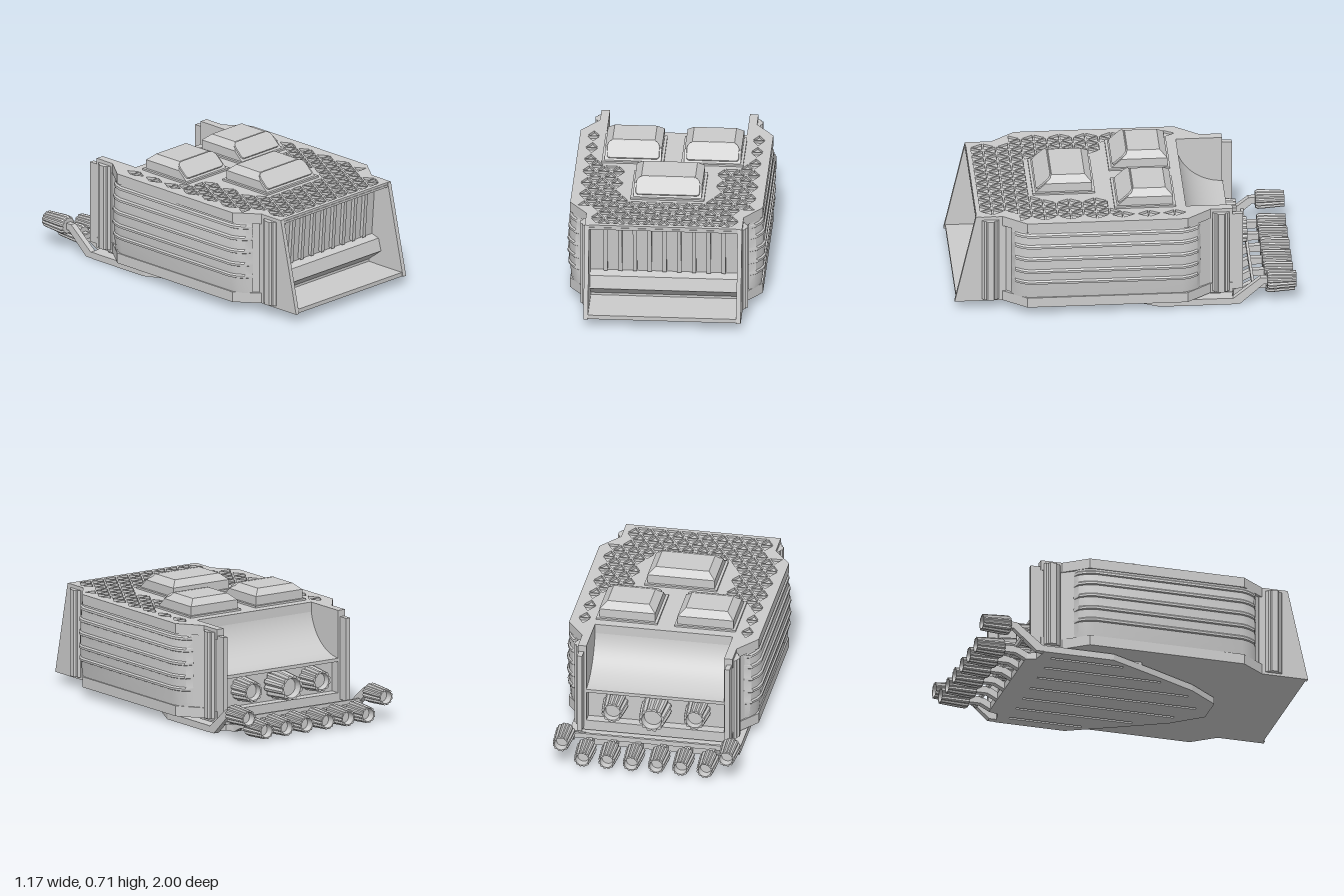
import * as THREE from 'three';
import { toCreasedNormals } from 'three/addons/utils/BufferGeometryUtils.js';

const mat = new THREE.MeshStandardMaterial({ color: 0xcccccc });
const thin = new THREE.MeshStandardMaterial({ color: 0xcccccc, side: THREE.DoubleSide });
const faceted = new THREE.MeshStandardMaterial({ color: 0xcccccc, side: THREE.DoubleSide, flatShading: true });

const shapeOf = (pts) => new THREE.Shape(pts.map(([a, b]) => new THREE.Vector2(a, b)));
const mirrorX = (pts) => [...pts, ...pts.slice().reverse().map(([x, z]) => [-x, z])];

// Plan outline of [x, z] points raised from y0 to y1
function prism(pts, y0, y1, holes = []) {
  const shape = shapeOf(pts.map(([x, z]) => [x, -z]));
  holes.forEach((h) => shape.holes.push(shapeOf(h.map(([x, z]) => [x, -z]))));
  const g = new THREE.ExtrudeGeometry(shape, { depth: y1 - y0, bevelEnabled: false });
  return g.rotateX(-Math.PI / 2).translate(0, y0, 0);
}

// Side profile of [z, y] points swept along x, centred on cx
function sweepX(pts, cx, width) {
  const g = new THREE.ExtrudeGeometry(shapeOf(pts), { depth: width, bevelEnabled: false });
  return toCreasedNormals(g.rotateY(-Math.PI / 2).translate(cx + width / 2, 0, 0), 0.5);
}

const box = (x0, x1, y0, y1, z0, z1) => new THREE.BoxGeometry(x1 - x0, y1 - y0, z1 - z0)
  .translate((x0 + x1) / 2, (y0 + y1) / 2, (z0 + z1) / 2);

// Hull plan; a notch at the rear leaves two cheeks
function hull(front, inset, notch) {
  const w = 0.565 - inset, n = 0.46 - inset * 0.3;
  const pts = [[n, front]];
  if (front > 0.72) pts.push([n, 0.72]);
  pts.push([w, 0.58], [w, -0.36], [n, -0.5], [n, -0.63]);
  if (notch) pts.push([0.41, -0.63], [0.41, -0.36]);
  return mirrorX(pts);
}

// Triangular cut-outs for the deck
function trussHoles() {
  const holes = [], base = 0.088, row = 0.076, gap = 0.2;
  const edge = (z) => (z > 0.58 ? Math.max(0.46, 0.565 - (z - 0.58) * 0.75)
    : z < -0.36 ? Math.max(0.46, 0.565 + (z + 0.36) * 0.75) : 0.565) - 0.012;
  const open = ([x, z]) => {
    const ax = Math.abs(x);
    if (ax > edge(z) || z > 0.855 || z < -0.46) return false;
    if (z < -0.34) return ax > 0.425;
    if (z < 0.08) return ax > 0.42;
    return z > 0.54 || ax > 0.23;
  };
  for (let r = 0; r < 18; r++) {
    const z = 0.85 - r * row;
    for (let i = -14; i <= 14; i++) {
      const x = i * base / 2, up = (i + r) % 2 === 0;
      const za = up ? z : z - row, zb = up ? z - row : z;
      const tri = [[x - base / 2, za], [x + base / 2, za], [x, zb]];
      const c = [x, (2 * za + zb) / 3];
      const small = tri.map(([a, b]) => [a + (c[0] - a) * gap, b + (c[1] - b) * gap]);
      if (small.every(open)) holes.push(small);
    }
  }
  return holes;
}

// Ribbed barrel panel wrapping one flank
function flankPanel(s) {
  const path = [[0.485, 0.672], [0.515, 0.65], [0.542, 0.61], [0.556, 0.57], [0.558, 0.1],
    [0.558, -0.33], [0.543, -0.38], [0.517, -0.42], [0.485, -0.442]];
  const rows = [[0.115, 0], [0.14, 0]];
  for (const y of [0.22, 0.295, 0.375, 0.455, 0.525]) {
    rows.push([y - 0.012, 0], [y - 0.008, 0.009], [y + 0.005, 0.009], [y + 0.014, 0]);
  }
  rows.push([0.552, 0]);
  const pos = [], idx = [], n = path.length;
  rows.forEach(([y, ridge], j) => path.forEach(([x, z], i) => {
    const fade = i === 0 || i === n - 1 ? 0 : 1;
    const out = (0.016 * (1 - ((y - 0.335) / 0.22) ** 2) + ridge) * fade;
    pos.push(s * (x + out), y, z);
    if (j && i) {
      const a = j * n + i, b = a - n;
      idx.push(...(s > 0 ? [b - 1, b, a, b - 1, a, a - 1] : [b - 1, a, b, b - 1, a - 1, a]));
    }
  }));
  const g = new THREE.BufferGeometry();
  g.setAttribute('position', new THREE.Float32BufferAttribute(pos, 3));
  g.setIndex(idx);
  return toCreasedNormals(g, 0.45);
}

// Fluted nozzle with an open bore, pointing to -z from its base
function nozzle(r, len) {
  const prof = [[0.3, 0], [0.85, 0], [1, 0.08], [0.98, 0.3], [0.84, 1], [0.66, 1], [0.58, 0.75], [0, 0.75]];
  const g = new THREE.LatheGeometry(prof.map(([a, b]) => new THREE.Vector2(a * r, b * len)), 36);
  const p = g.attributes.position;
  for (let i = 0; i < p.count; i++) {
    const ring = i % prof.length, seg = Math.floor(i / prof.length);
    if (ring > 0 && ring < 5 && seg % 3 === 0) p.setXYZ(i, p.getX(i) * 0.86, p.getY(i), p.getZ(i) * 0.86);
  }
  return g.rotateX(-Math.PI / 2);
}

// Bevelled roof block with a sloping front
function roofBlock(w, z0, z1) {
  const ring = (x, y, a, b) => [[-x, y, a], [-x, y, b], [x, y, b], [x, y, a]];
  const rings = [ring(w, 0.62, z0, z1), ring(w, 0.675, z0, z1 - 0.061), ring(w - 0.042, 0.712, z0 + 0.042, z1 - 0.1)];
  const pos = rings.flat(2), idx = [8, 9, 10, 8, 10, 11];
  for (let k = 0; k < 2; k++) for (let i = 0; i < 4; i++) {
    const a = k * 4 + i, b = k * 4 + (i + 1) % 4;
    idx.push(a, b, b + 4, a, b + 4, a + 4);
  }
  const g = new THREE.BufferGeometry();
  g.setAttribute('position', new THREE.Float32BufferAttribute(pos, 3));
  g.setIndex(idx);
  return g;
}

// Rounded pane lying on the sloping front of a roof block
function pane(w, z1) {
  const h = 0.052, r = 0.04, s = new THREE.Shape();
  s.moveTo(-w + 0.015, -h).lineTo(w - 0.015, -h).quadraticCurveTo(w, -h, w, -h + 0.015);
  s.lineTo(w, h - r).quadraticCurveTo(w, h, w - r, h).lineTo(-w + r, h);
  s.quadraticCurveTo(-w, h, -w, h - r).lineTo(-w, -h + 0.015).quadraticCurveTo(-w, -h, -w + 0.015, -h);
  const g = new THREE.ExtrudeGeometry(s, { depth: 0.004, bevelSize: 0.006, bevelThickness: 0.006, bevelSegments: 2 });
  return g.rotateX(-0.838).translate(0, 0.67, z1 - 0.054);
}

export function createModel() {
  const root = new THREE.Group();
  const add = (name, geo, m = mat, parent = root) => {
    const mesh = new THREE.Mesh(geo, m);
    mesh.name = name;
    parent.add(mesh);
    return mesh;
  };

  // Hull layers
  add('lowerHull', prism(hull(0.72, 0, false), 0.055, 0.117));
  add('hullCore', prism(hull(0.7, 0.022, true), 0.117, 0.55));
  add('upperHull', prism(hull(0.72, 0, true), 0.55, 0.596));
  add('trussDeck', prism(hull(0.872, 0, true), 0.596, 0.611, trussHoles()));

  // Front intake
  add('intakeFloor', box(-0.45, 0.45, 0.055, 0.08, 0.7, 0.99));
  add('intakeRoof', box(-0.45, 0.45, 0.583, 0.597, 0.7, 0.875));
  add('intakeBack', sweepX([[0.6, 0.59], [0.77, 0.59], [0.745, 0.26], [0.8, 0.245], [0.82, 0.17],
    [0.7, 0.08], [0.6, 0.08]], 0, 0.88));
  for (let i = -4; i <= 4; i++) {
    add('intakeRib', sweepX([[0.74, 0.275], [0.768, 0.265], [0.79, 0.56], [0.74, 0.565]], i * 0.0865, 0.024));
  }

  for (const s of [-1, 1]) {
    add('intakeCheek', sweepX([[0.7, 0.055], [1, 0.055], [0.875, 0.61], [0.7, 0.61]], s * 0.448, 0.026));
    add('flankPanel', flankPanel(s), thin);
    // Bevelled upright rails
    for (const z of [0.79, -0.562]) {
      const plan = [[0.45, 0.05], [0.465, 0.05], [0.478, 0.038], [0.478, 0.026], [0.491, 0.018],
        [0.491, -0.018], [0.478, -0.026], [0.478, -0.038], [0.465, -0.05], [0.45, -0.05]];
      add('uprightRail', prism(plan.map(([x, d]) => [s * x, z + d]), 0.07, 0.59));
    }
    add('rearBlade', box(s * 0.44 - 0.015, s * 0.44 + 0.015, 0.075, 0.572, -0.69, -0.62));
  }

  // Rear scoop and the bay beneath it
  const arc = [];
  for (let i = 0; i <= 16; i++) {
    const a = (i / 16) * Math.PI / 2;
    arc.push([-0.635 + 0.28 * Math.cos(a), 0.605 - 0.28 * Math.sin(a)]);
  }
  add('rearScoop', sweepX([[-0.34, 0.605], ...arc, [-0.635, 0.305], [-0.34, 0.305]], 0, 0.82));
  add('bayWall', box(-0.41, 0.41, 0.11, 0.31, -0.57, -0.34));
  for (const [x, r, z] of [[-0.245, 0.074, -0.56], [0, 0.09, -0.57], [0.245, 0.074, -0.56]]) {
    add('bayNozzle', nozzle(r, z === -0.57 ? 0.175 : 0.14), faceted).position.set(x, 0.22, z);
  }

  // Roof blocks
  for (const [x, w, z0, z1] of [[-0.233, 0.166, -0.285, 0.045], [0.233, 0.166, -0.285, 0.045], [0, 0.2, 0.175, 0.51]]) {
    const block = new THREE.Group();
    block.name = 'roofBlock';
    block.position.x = x;
    add('blockBase', box(-w - 0.016, w + 0.016, 0.596, 0.622, z0 - 0.016, z1 + 0.014), mat, block);
    add('blockBody', roofBlock(w, z0, z1), faceted, block);
    add('blockPane', pane(w - 0.018, z1), mat, block);
    root.add(block);
  }

  // Slotted belly tray
  const slot = (x, front) => [[x - 0.009, front], [x + 0.009, front], [x + 0.009, -0.56], [x - 0.009, -0.56]];
  const slots = [slot(0, 0.45)];
  for (const s of [-1, 1]) slots.push(slot(s * 0.15, 0.36), slot(s * 0.293, 0.15), slot(s * 0.43, -0.12));
  const tray = mirrorX([[0.095, 0.535], [0.235, 0.36], [0.375, 0.08], [0.51, -0.2], [0.51, -0.62], [0.4, -0.64], [0.38, -0.7]]);
  add('bellyTray', prism(tray, 0, 0.04, slots));
  for (const [x, w, z] of [[0, 0.09, 0.37], [0.22, 0.055, 0.22], [-0.22, 0.055, 0.22], [0.36, 0.055, 0.0], [-0.36, 0.055, 0.0]]) {
    add('trayMount', box(x - w, x + w, 0.035, 0.06, -0.5, z));
  }

  // Rear pipes and nozzles, the outer pair raised
  const low = [[-0.55, 0.002], [-0.7, 0.002], [-0.76, 0.033], [-0.85, 0.033], [-0.85, 0.075], [-0.75, 0.075], [-0.68, 0.038], [-0.55, 0.038]];
  const high = [[-0.5, 0.002], [-0.67, 0.002], [-0.81, 0.128], [-0.85, 0.128], [-0.85, 0.168], [-0.79, 0.168], [-0.63, 0.038], [-0.5, 0.038]];
  for (const s of [-1, 1]) for (const x of [0.075, 0.22, 0.365, 0.492]) {
    const outer = x > 0.4;
    add('rearPipe', sweepX(outer ? high : low, s * x, 0.036));
    add('rearNozzle', nozzle(0.058, 0.17), faceted).position.set(s * x, outer ? 0.148 : 0.058, -0.83);
  }
  add('crossBar', box(-0.49, 0.49, 0.068, 0.098, -0.76, -0.744));

  return root;
}
